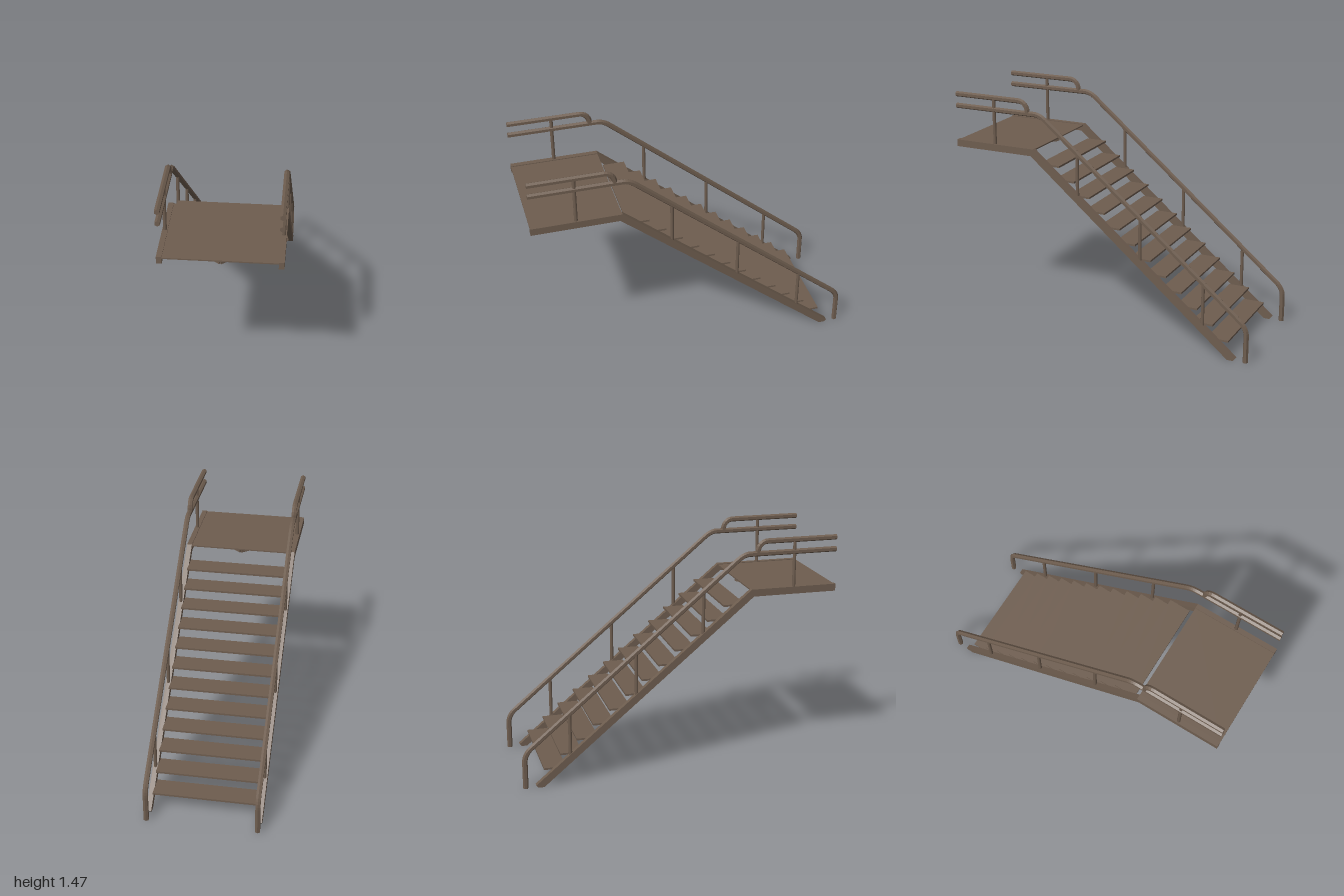
import * as THREE from 'three';

const SLOPE = 0.836;
const SIDE_X = 0.341;

// Sweep an upright hexagon along a path given in the (z, y) plane, with end caps.
function sweepRail(path, radius) {
  const pts = path.getPoints(6).filter((p, i, a) => i === 0 || p.distanceTo(a[i - 1]) > 1e-4);
  const n = 6, pos = [], idx = [];
  pts.forEach((p, i) => {
    const a = pts[Math.max(i - 1, 0)], b = pts[Math.min(i + 1, pts.length - 1)];
    const dIn = p.clone().sub(a).normalize(), dOut = b.clone().sub(p).normalize();
    const t = dIn.clone().add(dOut).normalize();
    const miter = 1 / Math.max(0.5, t.dot(i === 0 ? dOut : dIn));
    for (let k = 0; k < n; k++) {
      const ang = (k / n) * Math.PI * 2;
      const u = Math.cos(ang) * radius * miter, x = Math.sin(ang) * radius;
      pos.push(x, p.y - t.x * u, p.x + t.y * u);
    }
  });
  for (let i = 0; i < pts.length - 1; i++) {
    for (let k = 0; k < n; k++) {
      const a = i * n + k, b = i * n + (k + 1) % n;
      idx.push(a, a + n, b, b, a + n, b + n);
    }
  }
  const last = (pts.length - 1) * n;
  for (let k = 1; k < n - 1; k++) {
    idx.push(0, k, k + 1, last, last + k + 1, last + k);
  }
  const g = new THREE.BufferGeometry();
  g.setAttribute('position', new THREE.Float32BufferAttribute(pos, 3));
  g.setIndex(idx);
  const flat = g.toNonIndexed();
  flat.computeVertexNormals();
  return flat;
}

export function createModel() {
  const model = new THREE.Group();
  model.name = 'staircase';
  const brown = new THREE.MeshStandardMaterial({ color: 0x6e5d4f, side: THREE.DoubleSide });
  brown.name = 'brown paint';

  const add = (name, geometry, x = 0, y = 0, z = 0) => {
    const m = new THREE.Mesh(geometry, brown);
    m.name = name;
    m.position.set(x, y, z);
    model.add(m);
    return m;
  };

  // Stringer outline with the level platform edge, in (z, y)
  const outline = new THREE.Shape([
    [1, 1.16], [0.45, 1.16], [-0.92, 0.015], [-0.907, 0], [-0.87, 0], [0.464, 1.115], [1, 1.115],
  ].map(([z, y]) => new THREE.Vector2(z, y)));
  const stringer = new THREE.ExtrudeGeometry(outline, { depth: 0.032, bevelEnabled: false });
  stringer.rotateY(-Math.PI / 2).translate(0.016, 0, 0);

  // Main handrail: level, sloping, then down to the ground
  const main = new THREE.Path();
  main.moveTo(1, 1.38);
  main.lineTo(0.44, 1.38);
  main.quadraticCurveTo(0.402, 1.38, 0.365, 1.38 - 0.037 * SLOPE);
  main.lineTo(-0.94, 0.258);
  main.quadraticCurveTo(-0.983, 0.222, -0.983, 0.17);
  main.lineTo(-0.983, 0);
  const mainRail = sweepRail(main, 0.017);

  // Upper guard rail, curling down onto the main one
  const upper = new THREE.Path();
  upper.moveTo(1, 1.455);
  upper.lineTo(0.55, 1.455);
  upper.bezierCurveTo(0.515, 1.455, 0.488, 1.428, 0.488, 1.385);
  const upperRail = sweepRail(upper, 0.017);

  for (const s of [-1, 1]) {
    const side = s > 0 ? 'left' : 'right';
    add(side + 'Stringer', stringer, s * SIDE_X);
    add(side + 'Handrail', mainRail, s * SIDE_X);
    add(side + 'UpperRail', upperRail, s * SIDE_X);
    // Posts between stringer and rail
    for (const z of [0.727, 0.145, -0.28, -0.7]) {
      const level = z > 0.45;
      const low = level ? 1.15 : 1.15 + SLOPE * (z - 0.45);
      const high = level ? 1.455 : 1.165 + SLOPE * (z - 0.145);
      add(side + 'Post', new THREE.CylinderGeometry(0.011, 0.011, high - low, 8), s * SIDE_X, (low + high) / 2, z);
    }
  }

  // Treads
  const tread = new THREE.BoxGeometry(0.652, 0.012, 0.137);
  for (let i = 0; i < 12; i++) add('tread', tread, 0, 0.105 + i * 0.0868, -0.796 + i * 0.104);

  // Platform deck
  add('platformDeck', new THREE.BoxGeometry(0.652, 0.008, 0.55), 0, 1.151, 0.725);

  // Diamond of braces under the deck
  const nodes = [[0, 0.985], [0.315, 0.725], [0, 0.465], [-0.315, 0.725]];
  nodes.forEach(([x, z], i) => {
    const [x2, z2] = nodes[(i + 1) % 4];
    const brace = add('deckBrace', new THREE.BoxGeometry(Math.hypot(x2 - x, z2 - z), 0.022, 0.02),
      (x + x2) / 2, 1.136, (z + z2) / 2);
    brace.rotation.y = -Math.atan2(z2 - z, x2 - x);
  });

  return model;
}
